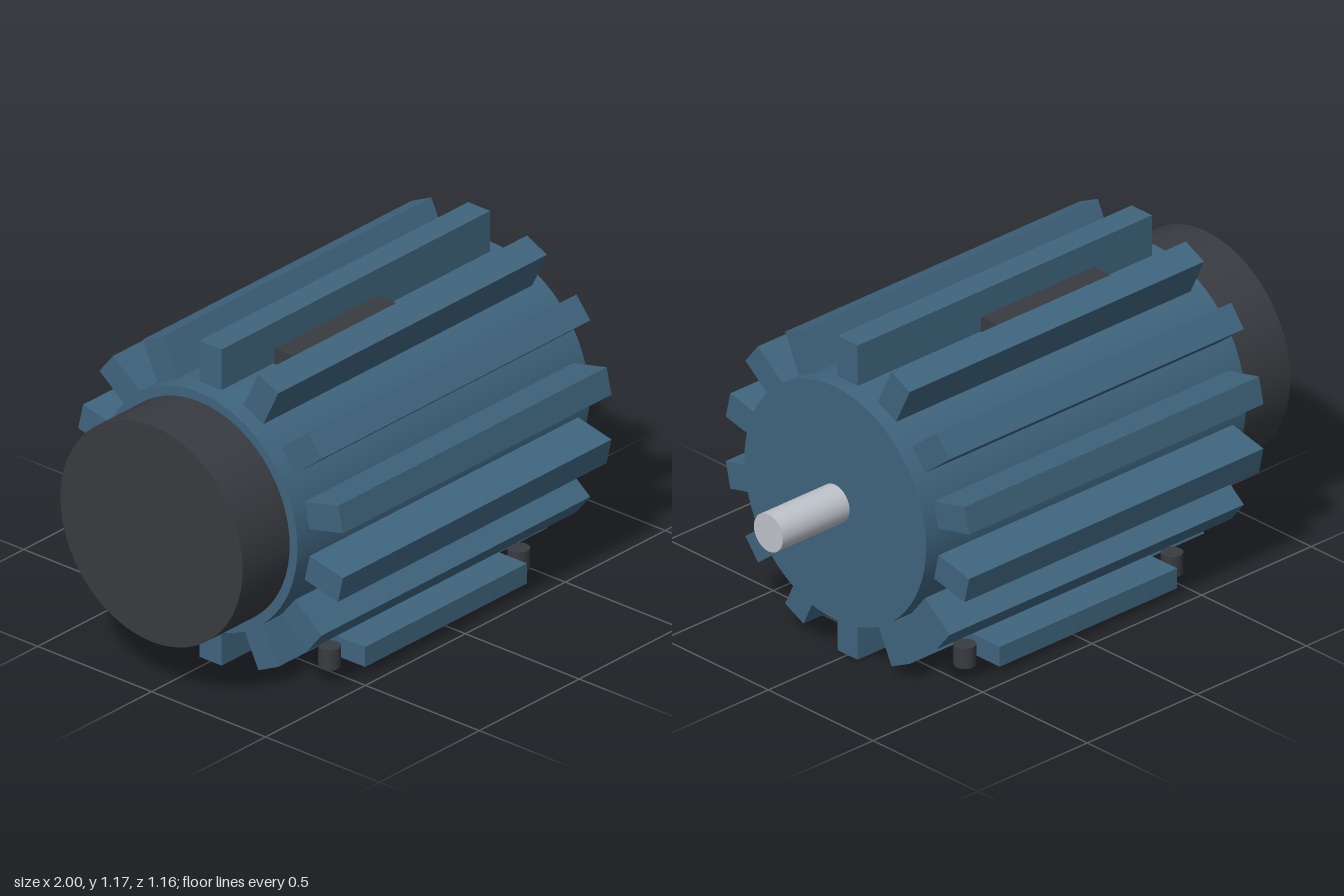
import * as THREE from 'three';

const AXIS_Y = 0.587;

export function createModel() {
  const group = new THREE.Group();
  const material = (name, color) => {
    const m = new THREE.MeshStandardMaterial({ color });
    m.name = name;
    return m;
  };
  const blue = material('blue paint', 0x3f657e);
  const dark = material('dark plastic', 0x383b40);
  const steel = material('steel', 0xbfc3cb);

  const add = (name, geometry, mat, x, y, z) => {
    const mesh = new THREE.Mesh(geometry, mat);
    mesh.name = name;
    mesh.position.set(x, y, z);
    group.add(mesh);
    return mesh;
  };
  // Cylinder along the motor axis from x0 to x1
  const axial = (name, radius, x0, x1, mat, sides) => add(name,
    new THREE.CylinderGeometry(radius, radius, x1 - x0, sides).rotateZ(-Math.PI / 2),
    mat, (x0 + x1) / 2, AXIS_Y, 0);
  // Box given by its limits
  const block = (name, x0, x1, y0, y1, z0, z1, mat) => add(name,
    new THREE.BoxGeometry(x1 - x0, y1 - y0, z1 - z0),
    mat, (x0 + x1) / 2, (y0 + y1) / 2, (z0 + z1) / 2);

  // Housing, fan cover and output shaft
  axial('housing', 0.434, -0.765, 0.695, blue, 64);
  axial('fanCover', 0.4, -1, -0.765, dark, 64);
  axial('shaft', 0.069, 0.695, 1, steel, 32);

  // Cooling fins around the housing
  const finGeometry = new THREE.BoxGeometry(1.344, 0.15, 0.097);
  const finCount = 14;
  for (let i = 0; i < finCount; i++) {
    const a = (i / finCount) * Math.PI * 2;
    const fin = add('coolingFin', finGeometry, blue,
      -0.033, AXIS_Y + Math.cos(a) * 0.51, Math.sin(a) * 0.51);
    fin.rotation.x = a;
  }

  // Terminal box on top
  block('terminalBox', -0.44, 0.075, 0.935, 1.075, -0.139, 0.139, dark);

  // Mounting feet with a bolt beyond each end
  const boltGeometry = new THREE.CylinderGeometry(0.038, 0.038, 0.075, 24);
  for (const side of [-1, 1]) {
    const z = side * 0.35;
    block('foot', -0.44, 0.37, 0.029, 0.103, z - 0.096, z + 0.096, blue);
    for (const x of [-0.508, 0.438]) add('footBolt', boltGeometry, dark, x, 0.066, z);
  }
  return group;
}
